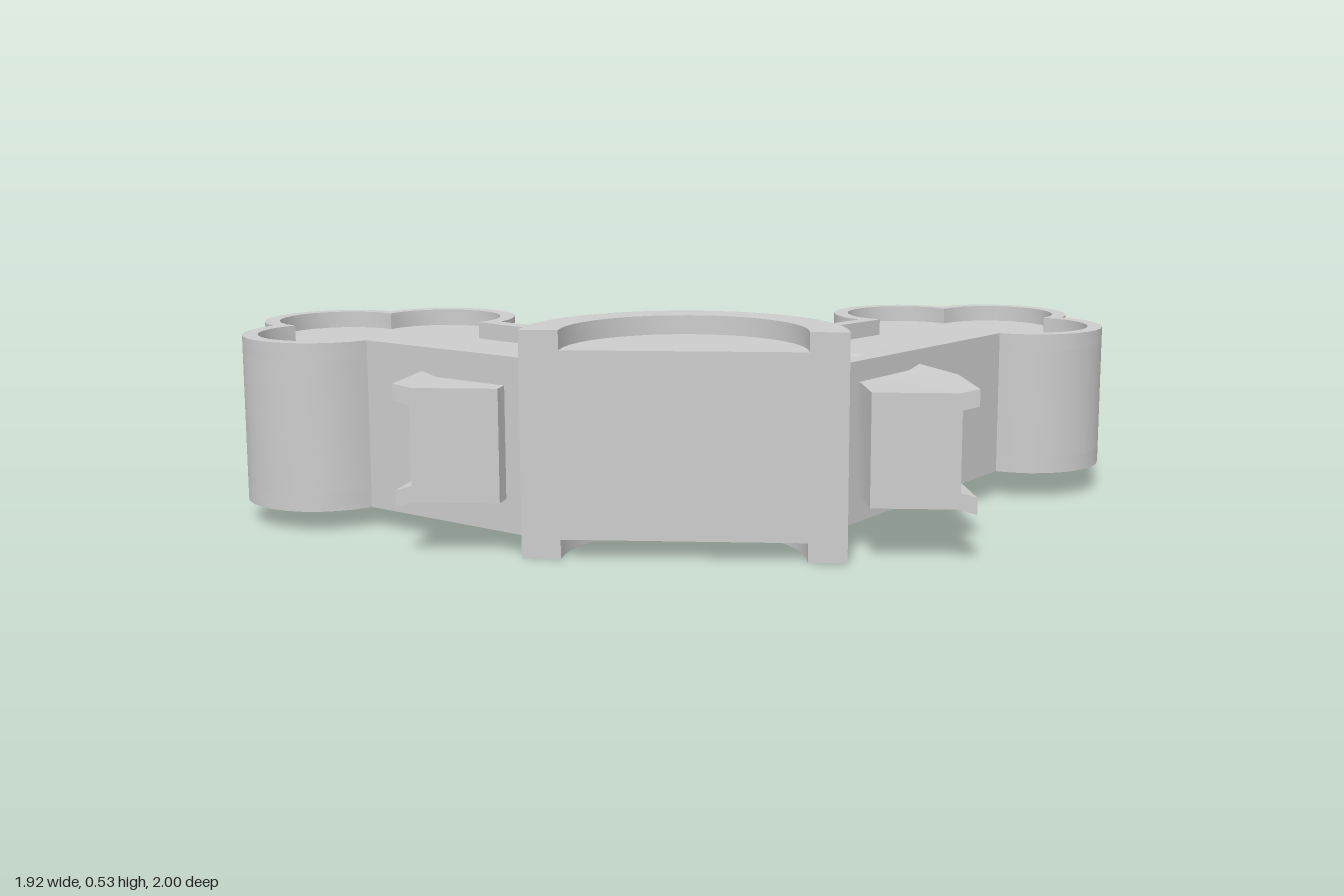
import * as THREE from 'three';
import { toCreasedNormals } from 'three/addons/utils/BufferGeometryUtils.js';

const grey = new THREE.MeshStandardMaterial({ color: 0xcccccc, side: THREE.DoubleSide });
const V = (x, y) => new THREE.Vector2(x, y);

function addMesh(parent, name, geometry) {
  const mesh = new THREE.Mesh(toCreasedNormals(geometry, 0.45), grey);
  mesh.name = name;
  parent.add(mesh);
  return mesh;
}

// Plan outline (x across, y away from the viewer) raised from y0 to y1
function slab(points, y0, y1) {
  const g = new THREE.ExtrudeGeometry(new THREE.Shape(points), { depth: y1 - y0, bevelEnabled: false });
  return g.rotateX(-Math.PI / 2).translate(0, y0, 0);
}

function arc(cx, cy, r, a0, a1, n) {
  return Array.from({ length: n + 1 }, (_, i) => {
    const a = a0 + ((a1 - a0) * i) / n;
    return V(cx + r * Math.cos(a), cy + r * Math.sin(a));
  });
}

// Floor recessed between a raised rim above and a matching rim below
function recessedBody(parent, name, outer, inner, y0, y1, depth, adjust = (g) => g) {
  const rim = [...outer, ...[...inner].reverse()];
  addMesh(parent, name + 'Core', adjust(slab(outer, y0 + depth, y1 - depth)));
  addMesh(parent, name + 'TopRim', adjust(slab(rim, y1 - depth, y1)));
  addMesh(parent, name + 'BottomRim', adjust(slab(rim, y0, y0 + depth)));
}

// Corridor ending in three round lobes; inset shrinks it for the rim's inner edge
function trefoilOutline({ root, left, right }, inset, lobeInset) {
  const side = 0.197, end = 0.167, r = 0.2 - lobeInset;
  const gap = Math.hypot(side, end);
  const h = Math.sqrt(r * r - (gap * gap) / 4);
  const ix = side / 2 + (h * end) / gap, iy = end / 2 + (h * side) / gap;
  const sideLobe = (w) => arc(side, 0, r, -Math.acos((w - side) / r), Math.atan2(iy, ix - side), 14);
  const a = Math.atan2(iy - end, ix);
  const mirrored = sideLobe(left[0] - inset).map((p) => V(-p.x, p.y)).reverse();
  return [
    V(right[1] - inset, root),
    ...sideLobe(right[0] - inset),
    ...arc(0, end, r, a, Math.PI - a, 14).slice(1, -1),
    ...mirrored,
    V(-(left[1] - inset), root),
  ];
}

function makeArm(name, o) {
  const arm = new THREE.Group();
  arm.name = name;
  // Height grows slightly toward the root
  const mid = (o.y0 + o.y1) / 2;
  const flare = (g) => {
    const p = g.attributes.position;
    for (let i = 0; i < p.count; i++) {
      const t = Math.max(0, (p.getZ(i) - 0.2) / (-o.root - 0.2));
      p.setY(i, mid + (p.getY(i) - mid) * (1 + o.flare * t));
    }
    return g;
  };
  recessedBody(arm, name, trefoilOutline(o, 0, 0), trefoilOutline(o, 0.044, 0.038), o.y0, o.y1, 0.043, flare);
  return arm;
}

export function createModel() {
  const model = new THREE.Group();
  model.name = 'trefoilArmedBuilding';

  // Two lobed arms; widths are [at the lobes, at the root]
  const backArm = makeArm('backArm', {
    root: -0.965, left: [0.218, 0.238], right: [0.227, 0.245], y0: 0.07, y1: 0.44, flare: 0.05,
  });
  backArm.position.set(0.413, 0, -0.633);
  const sideArm = makeArm('sideArm', {
    root: -0.71, left: [0.225, 0.19], right: [0.23, 0.23], y0: 0.05, y1: 0.467, flare: 0,
  });
  sideArm.position.set(-0.592, 0, 0.602);
  sideArm.rotation.y = Math.PI / 2;
  model.add(backArm, sideArm);

  // Hub and ring share one centre, flat side facing diagonally forward
  const hub = new THREE.Group();
  hub.name = 'hub';
  hub.position.set(0.415, 0, 0.59);
  hub.rotation.y = THREE.MathUtils.degToRad(35.8);
  model.add(hub);
  recessedBody(hub, 'halfDrum', arc(0, 0, 0.376, 0, Math.PI, 20), arc(0, 0, 0.285, 0, Math.PI, 20), 0, 0.534, 0.046);

  // Half ring with flanges along its outer edge
  const profile = [
    V(0.425, 0.13), V(0.625, 0.13), V(0.668, 0.118), V(0.668, 0.158), V(0.63, 0.168),
    V(0.63, 0.358), V(0.668, 0.368), V(0.668, 0.408), V(0.625, 0.398), V(0.425, 0.398),
  ];
  addMesh(hub, 'ringWall', new THREE.LatheGeometry([...profile, profile[0]], 10, Math.PI / 2, Math.PI));
  for (const [name, turn] of [['ringEndLeft', 0], ['ringEndRight', Math.PI]]) {
    const cap = new THREE.ShapeGeometry(new THREE.Shape(profile));
    // Both caps face out of the open side of the ring
    if (turn) {
      cap.scale(-1, 1, 1);
      cap.setIndex([...cap.index.array].reverse());
      cap.computeVertexNormals();
    }
    addMesh(hub, name, cap);
  }
  return model;
}
